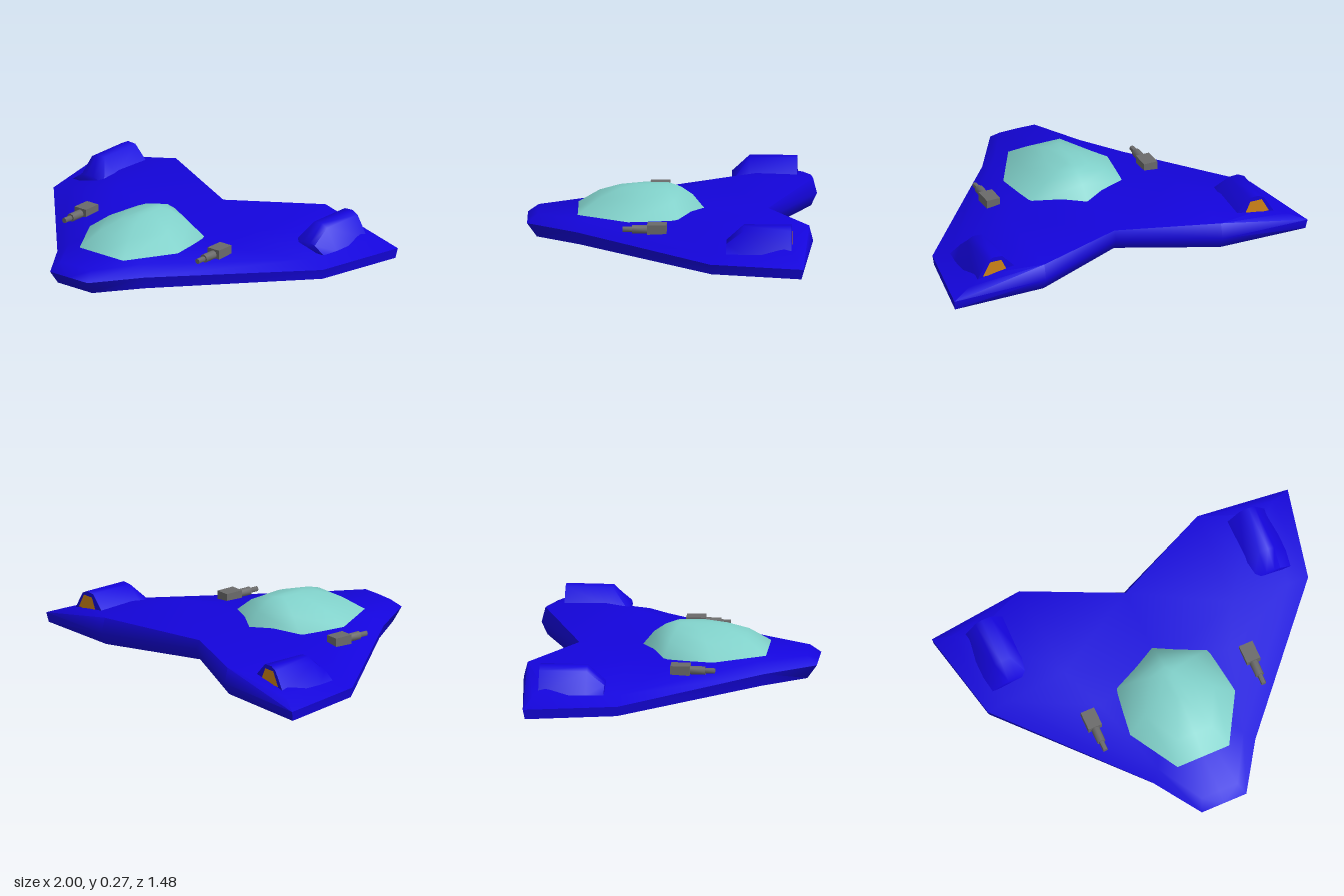
import * as THREE from 'three';
import { toCreasedNormals } from 'three/addons/utils/BufferGeometryUtils.js';

// Surface helpers: each returns a list of triangles, corners as [x, y, z]
const strip = (lo, up) => lo.slice(1).flatMap((p, i) => [
  [lo[i], p, up[i + 1]], [lo[i], up[i + 1], up[i]],
]);
const fan = (c, ring) => ring.slice(1).map((p, i) => [c, ring[i], p]);
const flip = (tris) => tris.map(([a, b, c]) => [a, c, b]);
const mirror = (tris) => flip(tris).map((t) => t.map(([x, y, z]) => [-x, y, z]));

function part(name, tris, color, crease) {
  const geo = new THREE.BufferGeometry();
  geo.setAttribute('position', new THREE.Float32BufferAttribute(tris.flat(2), 3));
  geo.computeVertexNormals();
  return named(name, toCreasedNormals(geo, crease), color);
}

function named(name, geo, color) {
  const mesh = new THREE.Mesh(geo, new THREE.MeshStandardMaterial({ color }));
  mesh.name = name;
  return mesh;
}

const BLUE = 0x1404dc, GLASS = 0x80d0c9, GREY = 0x6a6a6a, ORANGE = 0xd08418;

// Hull: three half outlines from nose to rear notch, closed by a belly and a deck
function hull() {
  const bottom = [[0, 0.018, 0.685], [0.115, 0.018, 0.685], [0.275, 0.018, 0.465],
    [0.893, 0.018, -0.225], [0.992, 0.018, -0.69], [0.5, 0.035, -0.71], [0, 0.04, -0.495]];
  const middle = [[0, 0.09, 0.735], [0.125, 0.09, 0.735], [0.29, 0.085, 0.48],
    [0.9, 0.07, -0.22], [1, 0.07, -0.7], [0.5, 0.1, -0.74], [0, 0.1, -0.52]];
  const top = [[0, 0.137, 0.68], [0.1, 0.135, 0.68], [0.24, 0.135, 0.44],
    [0.79, 0.1, -0.22], [0.9, 0.112, -0.66], [0.5, 0.18, -0.72], [0, 0.145, -0.5]];
  const deck = [0, 0.145, -0.07], step = [0.37, 0.14, 0], shoulder = [0.47, 0.18, -0.22];
  const podInner = [0.63, 0.17, -0.42], podOuter = [0.84, 0.135, -0.6];
  const half = [
    ...strip(bottom, middle),
    ...strip(middle, top),
    ...flip(fan([0.35, 0.003, 0], [...bottom, bottom[0]])),
    ...fan(deck, [...top.slice(0, 3), step]),
    [top[2], top[3], step],
    ...fan(podOuter, top.slice(3, 6)),
    ...fan(podInner, [top[3], podOuter, top[5]]),
    ...fan(shoulder, [deck, step, top[3], podInner, top[5], top[6], deck]),
  ];
  return part('hull', [...half, ...mirror(half)], BLUE, 1.15);
}

// Canopy: faceted outline shrinking upward, faster across than along, into a dome
function canopy() {
  const cz = 0.06;
  const outline = [[0, 0.475], [0.145, 0.475], [0.295, 0.215], [0.26, -0.045], [0, -0.175]];
  const rings = [[1, 1, 0.14], [0.66, 0.74, 0.215], [0.33, 0.48, 0.257], [0.1, 0.28, 0.272]]
    .map(([sx, sz, y]) => outline.map(([x, z]) => [x * sx, y, cz + (z - cz) * sz]));
  const half = rings.slice(1).flatMap((r, i) => strip(rings[i], r));
  half.push(...fan([0, 0.276, cz], rings[3]));
  return part('canopy', [...half, ...mirror(half)], GLASS, 0.8);
}

// Engine pod: ramped front, straight body, coloured exhaust at the rear
function enginePod(side) {
  const group = new THREE.Group();
  group.name = side > 0 ? 'leftEngine' : 'rightEngine';
  const section = [[0.85, 0.11], [0.785, 0.22], [0.75, 0.238], [0.7, 0.235], [0.62, 0.15]];
  const rear = section.map(([x, y]) => [x, y, -0.635]);
  const front = section.map(([x, y]) => [x, y, -0.39]);
  const toe = section.map(([x, y]) => [0.72 + (x - 0.72) * 0.9, 0.11 + (y - 0.11) * 0.35, -0.3]);
  const body = [...strip(rear, front), ...strip(front, toe), ...fan([0.72, 0.11, -0.3], toe),
    ...flip(fan([0.74, 0.17, -0.635], [...rear, rear[0]]))];
  const exhaust = [[0.81, 0.14], [0.77, 0.215], [0.705, 0.215], [0.67, 0.14], [0.81, 0.14]]
    .map(([x, y]) => [x, y, -0.638]);
  const glow = flip(fan([0.74, 0.175, -0.638], exhaust));
  const sided = (tris) => (side > 0 ? tris : mirror(tris));
  group.add(part('pod', sided(body), BLUE, 1.1), part('exhaust', sided(glow), ORANGE, 0.6));
  return group;
}

// Gun: square breech with a stepped barrel pointing forward
function gun(side) {
  const group = new THREE.Group();
  group.name = side > 0 ? 'leftGun' : 'rightGun';
  const breech = named('breech', new THREE.BoxGeometry(0.075, 0.052, 0.1), GREY);
  breech.position.z = 0.062;
  group.add(breech);
  for (const [name, r, z0, z1] of [['barrel', 0.023, 0.11, 0.19], ['muzzle', 0.014, 0.18, 0.24]]) {
    const geo = new THREE.CylinderGeometry(r, r, z1 - z0, 8).rotateX(Math.PI / 2);
    const tube = named(name, toCreasedNormals(geo, 0.9), GREY);
    tube.position.set(0, -0.004, (z0 + z1) / 2);
    group.add(tube);
  }
  group.position.set(side * 0.445, 0.145, 0);
  return group;
}

export function createModel() {
  const model = new THREE.Group();
  model.name = 'spaceFighter';
  model.add(hull(), canopy());
  for (const side of [1, -1]) model.add(enginePod(side), gun(side));
  return model;
}
